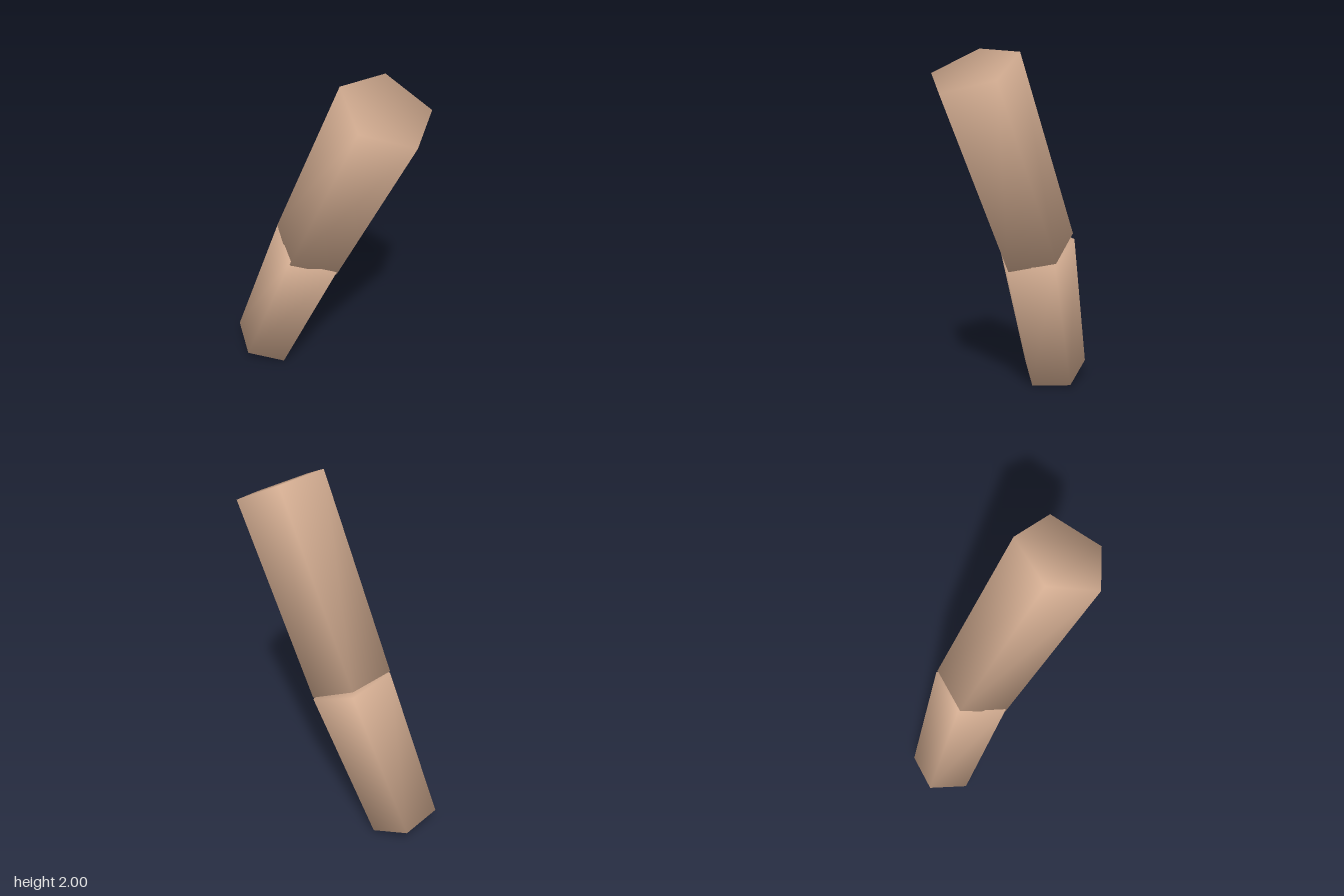
import * as THREE from 'three';

const SIDES = 5;

// Closed five-sided tapered limb between two centres, softly shaded across its ends
function limb(name, from, to, r0, r1, material) {
  const axis = to.clone().sub(from).normalize();
  const u = new THREE.Vector3(1, 0, 0).addScaledVector(axis, -axis.x).normalize();
  const w = axis.clone().cross(u);
  const pos = [], nor = [], idx = [];

  for (const [centre, r, dir] of [[from, r0, -1], [to, r1, 1]]) {
    for (let i = 0; i < SIDES; i++) {
      const a = (i / SIDES) * Math.PI * 2;
      const radial = u.clone().multiplyScalar(Math.cos(a)).addScaledVector(w, Math.sin(a));
      pos.push(...centre.clone().addScaledVector(radial, r).toArray());
      nor.push(...radial.multiplyScalar(1.2).addScaledVector(axis, dir).normalize().toArray());
    }
  }
  // sides
  for (let i = 0; i < SIDES; i++) {
    const j = (i + 1) % SIDES;
    idx.push(i, j, SIDES + j, i, SIDES + j, SIDES + i);
  }
  // end caps
  for (let i = 1; i < SIDES - 1; i++) {
    idx.push(0, i + 1, i, SIDES, SIDES + i, SIDES + i + 1);
  }

  const geo = new THREE.BufferGeometry();
  geo.setAttribute('position', new THREE.Float32BufferAttribute(pos, 3));
  geo.setAttribute('normal', new THREE.Float32BufferAttribute(nor, 3));
  geo.setIndex(idx);
  const mesh = new THREE.Mesh(geo, material);
  mesh.name = name;
  return mesh;
}

export function createModel() {
  const group = new THREE.Group();
  group.name = 'bentLimb';
  const tan = new THREE.MeshStandardMaterial({ color: 0xd1ab90 });
  tan.name = 'tan';

  const bottom = new THREE.Vector3(-0.445, 0.075, 0.111);
  const joint = new THREE.Vector3(-0.124, 0.91, -0.018);
  const top = new THREE.Vector3(0.378, 1.908, -0.064);

  group.add(limb('lowerSegment', bottom, joint, 0.197, 0.23, tan));
  group.add(limb('upperSegment', joint, top, 0.23, 0.247, tan));
  return group;
}
